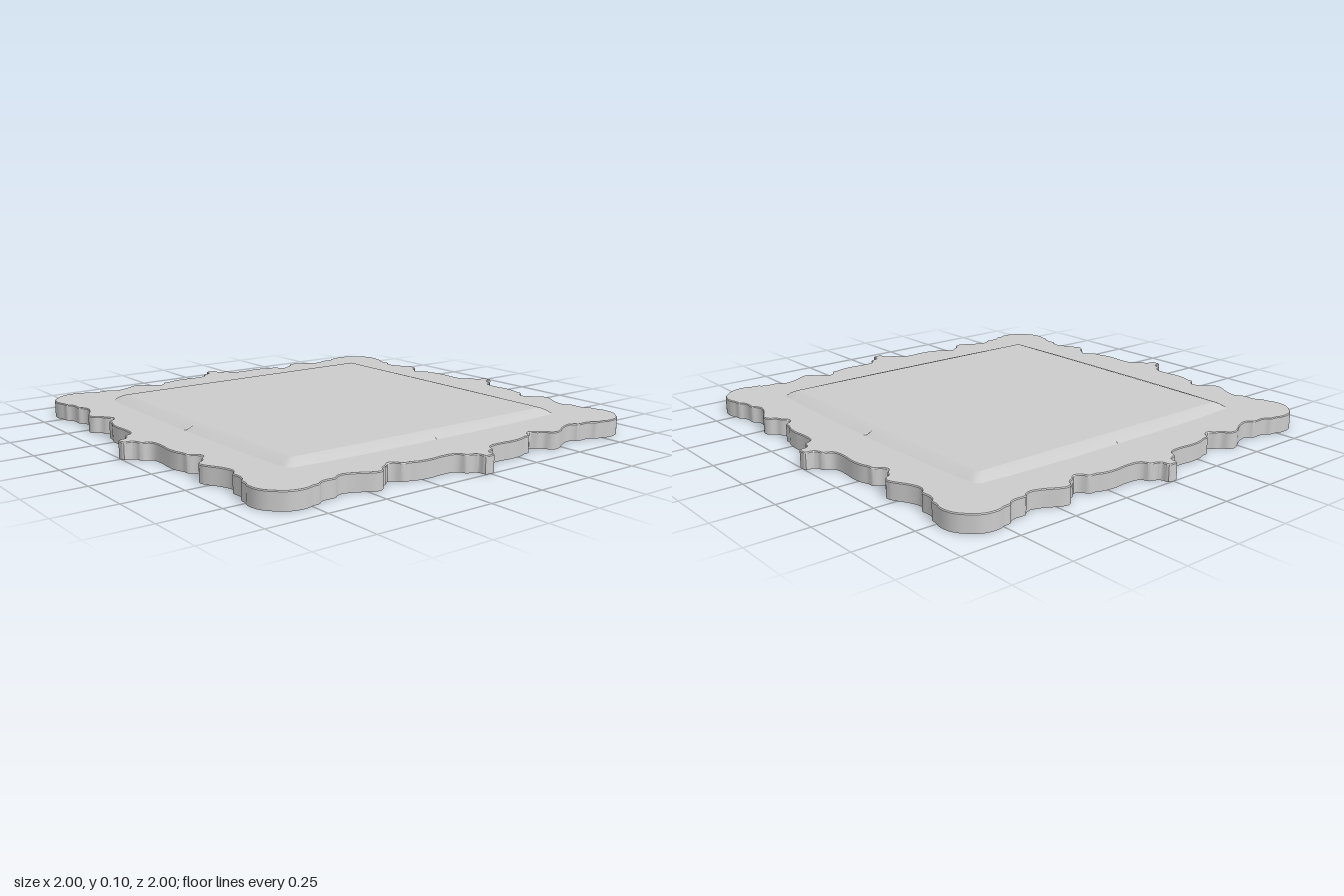
import * as THREE from 'three';
import { toCreasedNormals } from 'three/addons/utils/BufferGeometryUtils.js';

const RIM = 0.072, TOP = 0.096;

// Half of one side, from its middle to the corner: [distance along, distance out]
const HALF_EDGE = [
  [0, 1], [0.022, 0.995], [0.027, 0.965], [0.042, 0.952], [0.068, 0.944], [0.08, 0.918],
  [0.1, 0.905], [0.16, 0.902], [0.21, 0.907], [0.265, 0.902], [0.3, 0.89], [0.325, 0.888],
  [0.345, 0.86], [0.37, 0.849], [0.395, 0.87], [0.42, 0.882], [0.435, 0.905], [0.46, 0.916],
  [0.49, 0.906], [0.54, 0.878], [0.59, 0.863], [0.615, 0.872], [0.63, 0.885], [0.675, 0.884],
  [0.7, 0.892], [0.715, 0.905], [0.745, 0.908], [0.77, 0.917], [0.815, 0.916], [0.85, 0.902], [0.878, 0.878],
];

// Half of one side of the raised panel's foot, with a small notch at the middle
const HALF_PANEL = [
  [0, 0.704], [0.007, 0.716], [0.2, 0.716], [0.4, 0.712], [0.55, 0.706], [0.64, 0.699],
  [0.67, 0.699], [0.688, 0.688],
];

// Mirror a half side and turn it four times into a closed counter-clockwise loop
function fourSides(half) {
  const mirrored = half.slice(1).reverse().map(([a, o]) => [-a, o]);
  const side = [...mirrored, ...half.slice(0, -1)];
  const loop = [];
  for (let k = 0; k < 4; k++) {
    for (const [a, o] of side) {
      loop.push(new THREE.Vector2(o, a).rotateAround(new THREE.Vector2(), k * Math.PI / 2));
    }
  }
  return loop;
}

function smoothLoop(points, count) {
  const curve = new THREE.CatmullRomCurve3(
    points.map(p => new THREE.Vector3(p.x, p.y, 0)), true, 'centripetal');
  return Array.from({ length: count }, (_, i) => {
    const p = curve.getPoint(i / count);
    return new THREE.Vector2(p.x, p.y);
  });
}

// Move each point of a loop inward along its normal
function inset(loop, d) {
  return loop.map((p, i) => {
    const a = loop[(i + loop.length - 1) % loop.length], b = loop[(i + 1) % loop.length];
    const t = b.clone().sub(a).normalize();
    return new THREE.Vector2(p.x - t.y * d, p.y + t.x * d);
  });
}

// Skin a stack of [loop, height] rings
function loft(rings) {
  const n = rings[0][0].length, pos = [], index = [];
  for (const [loop, y] of rings) for (const p of loop) pos.push(p.x, y, -p.y);
  for (let r = 0; r < rings.length - 1; r++) {
    for (let i = 0; i < n; i++) {
      const a = r * n + i, b = r * n + (i + 1) % n;
      index.push(a, b, b + n, a, b + n, a + n);
    }
  }
  const g = new THREE.BufferGeometry();
  g.setAttribute('position', new THREE.Float32BufferAttribute(pos, 3));
  g.setIndex(index);
  return toCreasedNormals(g, Math.PI / 5);
}

function flat(loop, y, hole) {
  const shape = new THREE.Shape(loop);
  if (hole) shape.holes.push(new THREE.Path(hole));
  return new THREE.ShapeGeometry(shape).rotateX(-Math.PI / 2).translate(0, y, 0);
}

export function createModel() {
  const group = new THREE.Group();
  const material = new THREE.MeshStandardMaterial({ color: 0xcccccc, side: THREE.DoubleSide });
  const add = (name, geometry) => {
    const mesh = new THREE.Mesh(geometry, material);
    mesh.name = name;
    group.add(mesh);
  };

  const edge = smoothLoop(fourSides(HALF_EDGE), 720);
  const edgeTop = inset(edge, 0.003);
  const foot = fourSides(HALF_PANEL);
  // Crest of the bevel: the same points drawn in to a straight square
  const crest = foot.map(p => {
    const s = 0.65 / Math.max(Math.abs(p.x), Math.abs(p.y));
    return p.clone().multiplyScalar(s);
  });
  const shoulder = foot.map((p, i) => p.clone().lerp(crest[i], 0.55));

  // Scalloped skirt, open underneath
  add('scallopedWall', loft([[edge, 0], [edge, RIM - 0.004], [edgeTop, RIM]]));
  // Flat border around the panel
  add('border', flat(edgeTop, RIM, foot));
  // Raised centre with bowed, sloping sides
  add('panelBevel', loft([[foot, RIM], [shoulder, RIM + 0.016], [crest, TOP]]));
  add('panelTop', flat(crest, TOP));
  return group;
}
